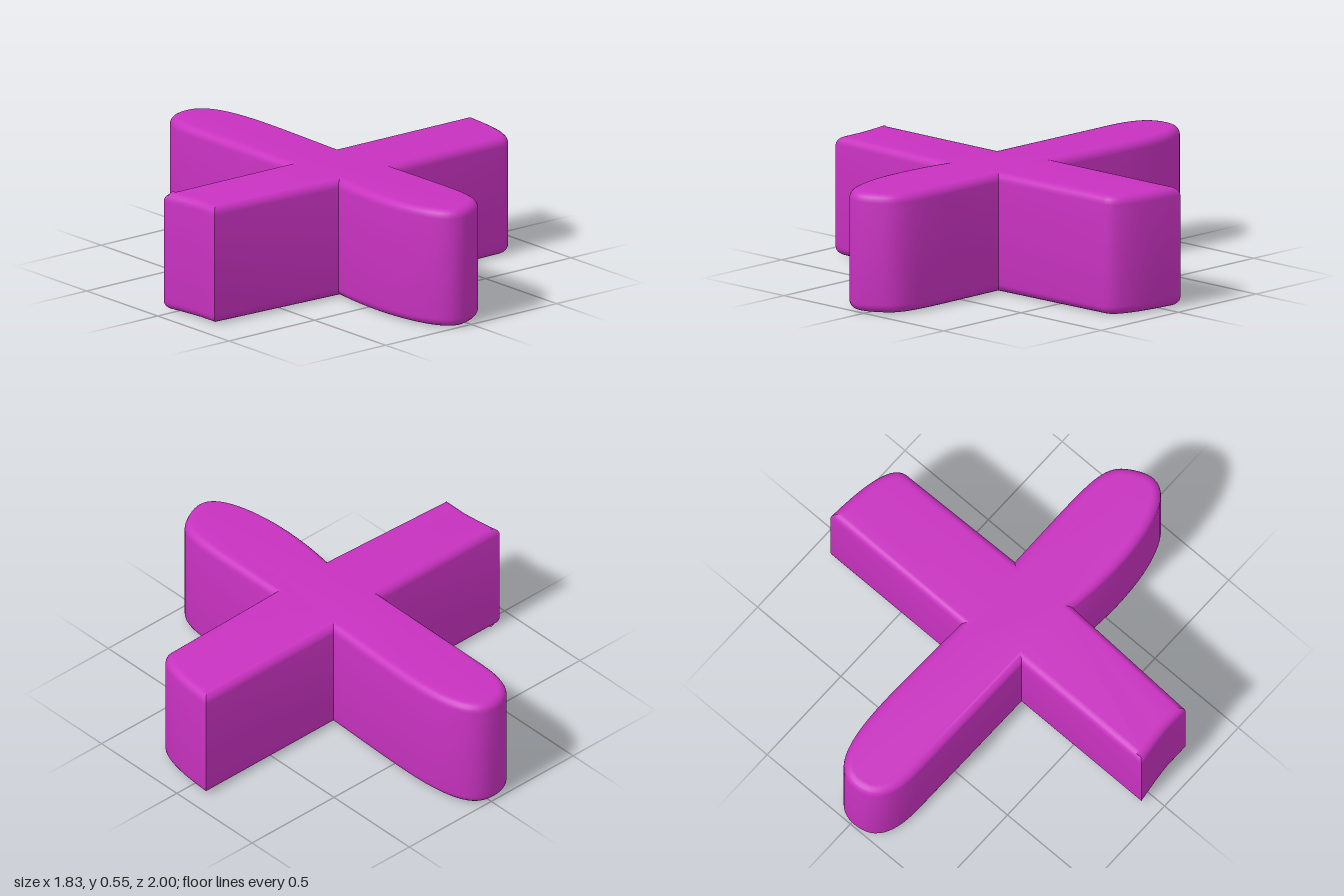
import * as THREE from 'three';
import { toCreasedNormals } from 'three/addons/utils/BufferGeometryUtils.js';

const HEIGHT = 0.55;
const BEVEL = 0.04;

// Plan outline of the four uneven arms, drawn as (x, z)
function crossOutline() {
  const s = new THREE.Shape();
  // left arm, one rounded corner
  s.moveTo(0.137, -0.1);
  s.lineTo(0.915, -0.1);
  s.bezierCurveTo(0.905, 0.1, 0.88, 0.272, 0.79, 0.275);
  s.lineTo(0.152, 0.287);
  // front arm, lopsided rounded tip
  s.lineTo(0.155, 0.62);
  s.bezierCurveTo(0.155, 0.85, 0.14, 0.91, 0.06, 0.96);
  s.bezierCurveTo(0.02, 0.985, -0.02, 1, -0.05, 1);
  s.bezierCurveTo(-0.17, 1, -0.215, 0.78, -0.215, 0.58);
  s.bezierCurveTo(-0.215, 0.48, -0.205, 0.38, -0.19, 0.295);
  // right arm, slanted sharp end
  s.lineTo(-0.89, 0.265);
  s.lineTo(-0.89, 0.14);
  s.quadraticCurveTo(-0.895, 0.07, -0.915, -0.06);
  s.lineTo(-0.195, -0.06);
  // back arm, round tip
  s.lineTo(-0.19, -0.74);
  s.bezierCurveTo(-0.19, -0.93, -0.13, -1, -0.02, -1);
  s.bezierCurveTo(0.1, -1, 0.152, -0.88, 0.152, -0.6);
  s.bezierCurveTo(0.152, -0.5, 0.145, -0.3, 0.137, -0.1);
  return s;
}

export function createModel() {
  const group = new THREE.Group();
  group.name = 'crossBlock';

  // Extruded body with softened upper and lower rims
  const geometry = new THREE.ExtrudeGeometry(crossOutline(), {
    depth: HEIGHT - 2 * BEVEL,
    bevelEnabled: true,
    bevelThickness: BEVEL,
    bevelSize: BEVEL,
    bevelOffset: -BEVEL,
    bevelSegments: 5,
    curveSegments: 14,
  });
  geometry.rotateX(Math.PI / 2);
  geometry.translate(0, HEIGHT - BEVEL, 0);

  const body = new THREE.Mesh(
    toCreasedNormals(geometry, 0.6),
    new THREE.MeshStandardMaterial({ color: 0xc832c0 })
  );
  body.name = 'crossBody';
  group.add(body);
  return group;
}
